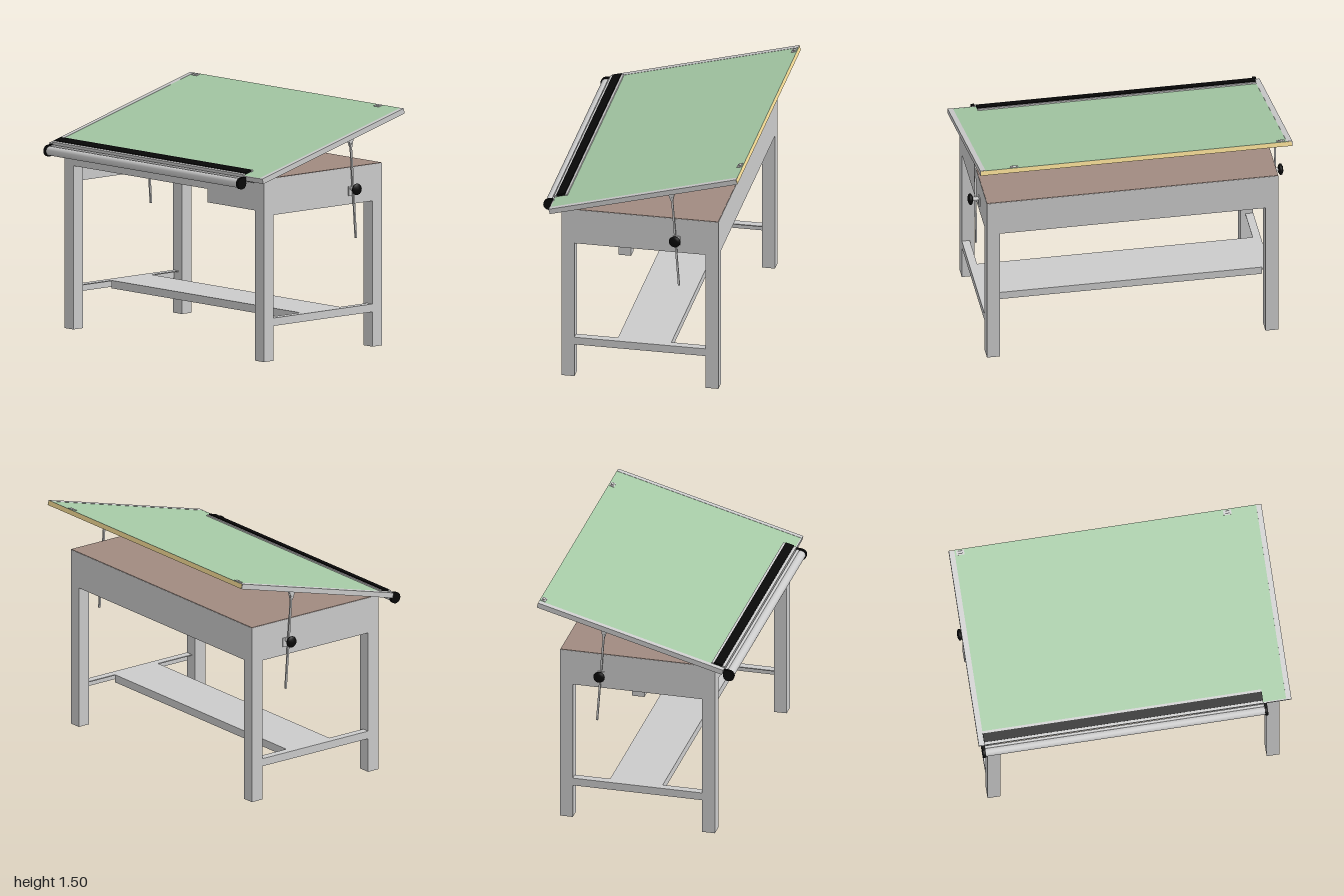
import * as THREE from 'three';

const mat = (color) => new THREE.MeshStandardMaterial({ color, side: THREE.DoubleSide });
const grey = mat(0xcccccc);
const black = mat(0x080808);
const brown = mat(0xa08a80);
const green = mat(0xa5c9a5);
const cream = mat(0xf5dc96);

function add(parent, name, geometry, material = grey) {
  const mesh = new THREE.Mesh(geometry, material);
  mesh.name = name;
  parent.add(mesh);
  return mesh;
}

// Box given by its limits along each axis
function box(parent, name, [x0, x1], [y0, y1], [z0, z1], material) {
  const mesh = add(parent, name, new THREE.BoxGeometry(x1 - x0, y1 - y0, z1 - z0), material);
  mesh.position.set((x0 + x1) / 2, (y0 + y1) / 2, (z0 + z1) / 2);
  return mesh;
}

// Cylinder lying along z
function rod(parent, name, x, y, [z0, z1], r, material) {
  const geo = new THREE.CylinderGeometry(r, r, z1 - z0, 24).rotateX(Math.PI / 2);
  const mesh = add(parent, name, geo, material);
  mesh.position.set(x, y, (z0 + z1) / 2);
  return mesh;
}

const outline = (points) => new THREE.Shape(points.map(([x, y]) => new THREE.Vector2(x, y)));
const extrude = (shape, depth) => new THREE.ExtrudeGeometry(shape, { depth, bevelEnabled: false });

// Downward-open sheet channel running along z, centred on the origin
function channel(width, height, length, t = 0.006) {
  const w = width / 2;
  return extrude(outline([
    [-w, 0], [-w, height], [w, height], [w, 0],
    [w - t, 0], [w - t, height - t], [-w + t, height - t], [-w + t, 0],
  ]), length).translate(0, 0, -length / 2);
}

// Square hollow tube standing on y = 0
function squareTube(side, height, t) {
  const ring = (h) => outline([[-h, -h], [h, -h], [h, h], [-h, h]]);
  const s = ring(side / 2);
  s.holes.push(ring(side / 2 - t));
  return extrude(s, height).rotateX(-Math.PI / 2);
}

// The +z end of the stand
function buildStandEnd() {
  const end = new THREE.Group();
  end.name = 'standEnd';
  for (const sx of [-1, 1]) {
    add(end, 'leg', squareTube(0.082, 1.15, 0.004)).position.set(sx * 0.459, 0, 0.883);
  }
  // Angle-section rail: outer face and top plate
  box(end, 'endRailFace', [-0.418, 0.418], [0.22, 0.27], [0.918, 0.924]);
  box(end, 'endRailTop', [-0.418, 0.418], [0.264, 0.27], [0.874, 0.918]);
  box(end, 'endApron', [-0.5, 0.5], [0.922, 1.154], [0.912, 0.924]);
  return end;
}

function buildBase() {
  const base = new THREE.Group();
  base.name = 'base';
  for (const sz of [1, -1]) {
    const end = buildStandEnd();
    end.scale.z = sz;
    base.add(end);
  }
  add(base, 'footrest', channel(0.34, 0.05, 1.748)).position.set(0.02, 0.22, 0);

  // Long aprons: deep on one side, shallow over the knee space
  box(base, 'longApron', [0.488, 0.5], [0.922, 1.154], [-0.924, 0.924]);
  box(base, 'kneeApron', [-0.5, -0.488], [1.035, 1.154], [-0.924, 0.924]);
  box(base, 'cabinetTop', [-0.498, 0.498], [1.14, 1.157], [-0.922, 0.922], brown);
  box(base, 'cabinetBottom', [-0.488, 0.488], [1.045, 1.055], [-0.912, 0.912], brown);

  // Shallow drawer case under one end
  box(base, 'drawerSide', [-0.5, 0.488], [0.95, 1.05], [0.4, 0.415]);
  box(base, 'drawerFront', [-0.5, -0.488], [0.95, 1.05], [0.4, 0.9]);
  box(base, 'drawerBottom', [-0.488, 0.488], [0.965, 0.975], [0.415, 0.912], brown);
  return base;
}

function buildBoard() {
  const board = new THREE.Group();
  board.name = 'drawingBoard';
  board.position.set(-0.56, 1.141, 0);
  board.rotation.z = THREE.MathUtils.degToRad(15);

  // Core panel with drawing cover, end trims and low edge trim
  box(board, 'boardCore', [0.002, 1.237], [0.001, 0.03], [-0.986, 0.984], cream);
  box(board, 'boardCover', [0.002, 1.237], [0.03, 0.0315], [-0.955, 0.955], green);
  box(board, 'endTrim', [-0.002, 1.235], [0, 0.033], [-0.99, -0.955]);
  box(board, 'endTrim', [-0.002, 1.235], [0, 0.033], [0.955, 0.988]);
  box(board, 'lowEdgeTrim', [-0.002, 0.006], [0, 0.032], [-0.955, 0.955]);

  // Straightedge lying on the low side
  box(board, 'straightedge', [0.015, 0.071], [0.034, 0.047], [-0.955, 0.81], black);
  box(board, 'straightedgeLip', [0.071, 0.086], [0.0315, 0.04], [-0.955, 0.81]);
  box(board, 'straightedgeRail', [-0.002, 0.015], [0.0315, 0.042], [-0.955, 0.81]);

  // Cord clips at the high edge
  for (const z of [-0.92, 0.77]) {
    box(board, 'clipBase', [1.2, 1.23], [0.0315, 0.035], [z - 0.025, z + 0.025]);
    rod(board, 'clipPulley', 1.217, 0.032, [z - 0.012, z + 0.012], 0.009);
  }
  // Hinge lugs below the low edge
  for (const z of [-0.8, 0.8]) {
    box(board, 'hingeLug', [0.042, 0.054], [-0.02, 0.001], [z - 0.03, z + 0.03]);
    rod(board, 'hingePin', 0.048, -0.021, [z - 0.04, z + 0.04], 0.008);
  }
  return board;
}

function buildRoller() {
  const roller = new THREE.Group();
  roller.name = 'paperRoller';
  rod(roller, 'rollerTube', -0.6, 1.128, [-0.955, 0.815], 0.029);
  rod(roller, 'guideTube', -0.578, 1.155, [-0.955, 0.815], 0.009);
  for (const [z0, z1] of [[-0.972, -0.953], [0.813, 0.832]]) {
    rod(roller, 'rollerCap', -0.6, 1.128, [z0, z1], 0.036, black);
    box(roller, 'rollerBracket', [-0.6, -0.565], [1.14, 1.166], [z0, z1], black);
  }
  return roller;
}

// Tilt strut with bracket, clamp and knob, built on the +z end
function buildStrut() {
  const strut = new THREE.Group();
  strut.name = 'tiltStrut';
  const top = new THREE.Vector2(0.208, 1.335), foot = new THREE.Vector2(0.254, 0.708);
  const bar = add(strut, 'strutBar', new THREE.BoxGeometry(0.012, top.distanceTo(foot), 0.011));
  bar.position.set((top.x + foot.x) / 2, (top.y + foot.y) / 2, 0.95);
  bar.rotation.z = Math.atan2(foot.x - top.x, top.y - foot.y);

  const cheek = outline([[0.185, 1.338], [0.204, 1.289], [0.216, 1.289], [0.23, 1.35]]);
  for (const z of [0.941, 0.956]) {
    add(strut, 'strutBracket', extrude(cheek, 0.003)).position.z = z;
  }
  const plate = box(strut, 'bracketPlate', [0.187, 0.231], [1.341, 1.347], [0.905, 0.959]);
  plate.rotation.z = THREE.MathUtils.degToRad(15);
  rod(strut, 'bracketPin', 0.21, 1.31, [0.938, 0.962], 0.005);

  box(strut, 'clampPlate', [0.212, 0.258], [0.977, 1.035], [0.924, 0.931]);
  rod(strut, 'clampBolt', 0.233, 1.022, [0.89, 0.975], 0.011);
  rod(strut, 'clampCollar', 0.233, 1.022, [0.94, 0.962], 0.014);

  // Rounded knob turned about the bolt
  const profile = [[0, 0], [0.018, 0], [0.034, 0.008], [0.037, 0.015], [0.034, 0.023], [0.02, 0.03], [0, 0.032]]
    .map(([r, h]) => new THREE.Vector2(r, h));
  const knob = add(strut, 'knob', new THREE.LatheGeometry(profile, 24).rotateX(Math.PI / 2), black);
  knob.position.set(0.233, 1.022, 0.968);
  return strut;
}

export function createModel() {
  const model = new THREE.Group();
  model.name = 'draftingTable';
  model.add(buildBase(), buildBoard(), buildRoller());
  // Struts mirrored on both ends
  for (const sz of [1, -1]) {
    const strut = buildStrut();
    strut.scale.z = sz;
    model.add(strut);
  }
  return model;
}
